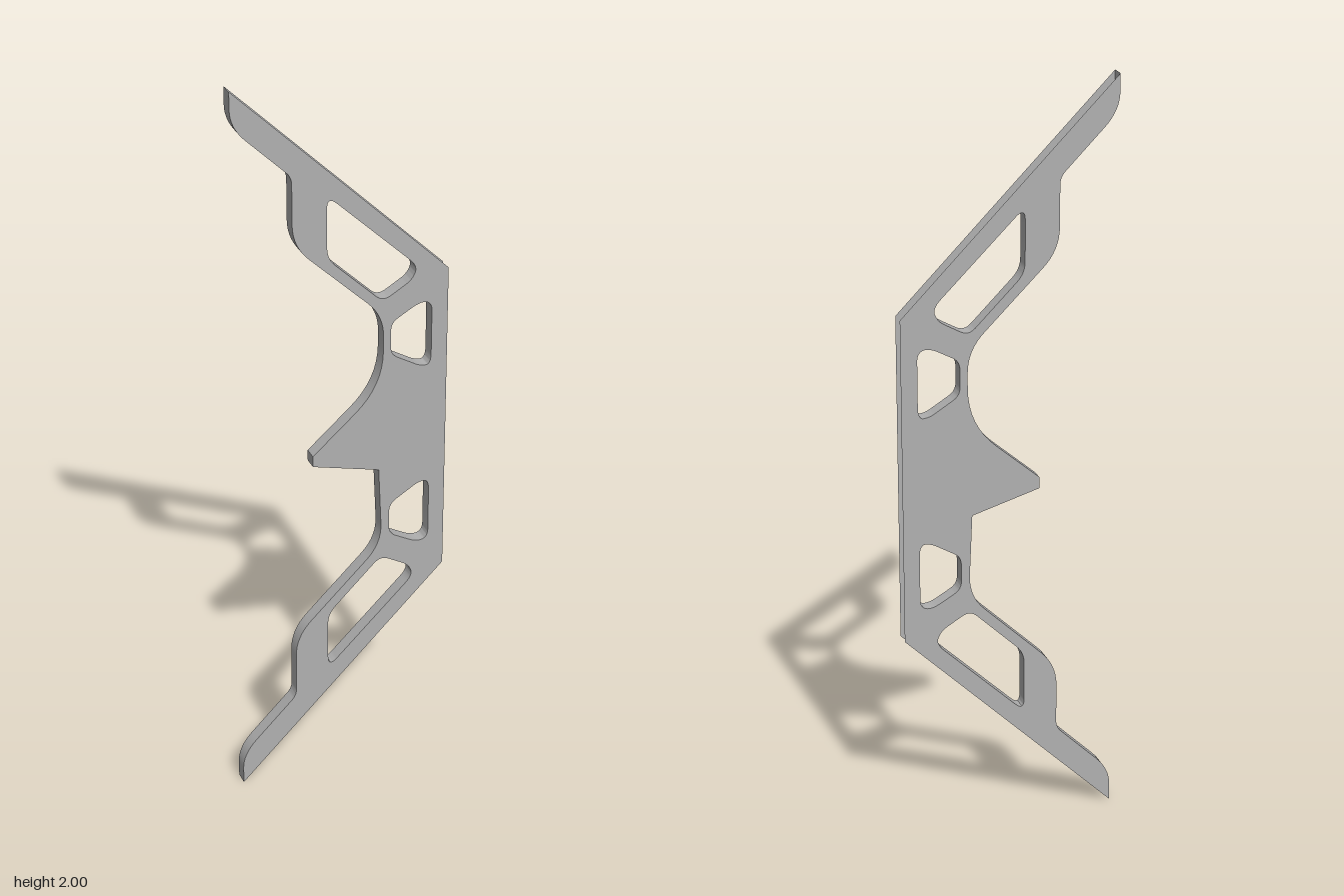
import * as THREE from 'three';
import { toCreasedNormals } from 'three/addons/utils/BufferGeometryUtils.js';

const HALF_Z = 0.018;
const OUT_X = 0.283, KNEE = 0.435; // outer straight edge and its half height

// Closed path through [x, y, cut] corners; each corner is rounded off by its cut length
function roundedPath(path, corners) {
  const n = corners.length;
  corners.forEach(([x, y, cut = 0], i) => {
    const p = new THREE.Vector2(x, y);
    const toward = (c) => {
      const d = new THREE.Vector2(c[0], c[1]).sub(p);
      return d.setLength(Math.min(cut, d.length() * 0.5)).add(p);
    };
    const a = cut ? toward(corners[(i + n - 1) % n]) : p;
    if (i === 0) path.moveTo(a.x, a.y); else path.lineTo(a.x, a.y);
    if (cut) {
      const b = toward(corners[(i + 1) % n]);
      path.quadraticCurveTo(x, y, b.x, b.y);
    }
  });
  path.closePath();
  return path;
}

const mirrorY = (corners) => corners.map(([x, y, c]) => [x, 2 - y, c]).reverse();

// True on the straight outer boundary, which has no side wall
function onOuterEdge(x, y) {
  const h = Math.abs(y - 1);
  const diagonal = 1 - (1 - KNEE) * (x + OUT_X) / (2 * OUT_X);
  return Math.abs(h - diagonal) < 1e-4 || (Math.abs(x - OUT_X) < 1e-4 && h <= KNEE + 1e-4);
}

// Remove the side walls along the outer boundary
function openOuterEdge(geometry) {
  const pos = geometry.attributes.position, nor = geometry.attributes.normal;
  const kept = [];
  for (let i = 0; i < pos.count; i += 3) {
    const side = Math.abs(nor.getZ(i)) < 0.5;
    const outer = [i, i + 1, i + 2].every((k) => onOuterEdge(pos.getX(k), pos.getY(k)));
    if (side && outer) continue;
    for (let k = i; k < i + 3; k++) kept.push(pos.getX(k), pos.getY(k), pos.getZ(k));
  }
  const open = new THREE.BufferGeometry();
  open.setAttribute('position', new THREE.Float32BufferAttribute(kept, 3));
  return toCreasedNormals(open, 0.5);
}

export function createModel() {
  const model = new THREE.Group();
  model.name = 'bowFrame';
  const grey = new THREE.MeshStandardMaterial({ color: 0xb0b0b0, side: THREE.DoubleSide });
  grey.name = 'grey';

  // Inner edge of one limb, from the tip to the grip
  const limb = [
    [-OUT_X, 2], [-OUT_X, 1.908, 0.055], [-0.13, 1.755, 0.02],
    [-0.13, 1.57, 0.06], [0.11, 1.335, 0.06],
  ];
  // Grip with the pointed rest
  const grip = [[0.11, 1.137, 0.1], [-0.08, 0.97], [-0.08, 0.94], [0.1, 0.89]];
  const outline = roundedPath(new THREE.Shape(), [
    ...limb, ...grip, ...mirrorY(limb), [OUT_X, 1 - KNEE], [OUT_X, 1 + KNEE],
  ]);

  // Cut-outs, the same in both limbs
  const longHole = [
    [-0.04, 1.69, 0.035], [0.2, 1.455, 0.03], [0.185, 1.42, 0.018],
    [0.107, 1.375, 0.025], [-0.04, 1.52, 0.03],
  ];
  const shortHole = [
    [0.13, 1.31, 0.022], [0.21, 1.355, 0.03], [0.24, 1.345, 0.022],
    [0.24, 1.17, 0.033], [0.21, 1.172, 0.015], [0.13, 1.22, 0.022],
  ];
  for (const hole of [longHole, shortHole]) {
    outline.holes.push(roundedPath(new THREE.Path(), hole));
    outline.holes.push(roundedPath(new THREE.Path(), mirrorY(hole)));
  }

  const geometry = new THREE.ExtrudeGeometry(outline, {
    depth: HALF_Z * 2, bevelEnabled: false, curveSegments: 8,
  });
  geometry.translate(0, 0, -HALF_Z);
  const frame = new THREE.Mesh(openOuterEdge(geometry), grey);
  frame.name = 'frame';
  model.add(frame);
  return model;
}
